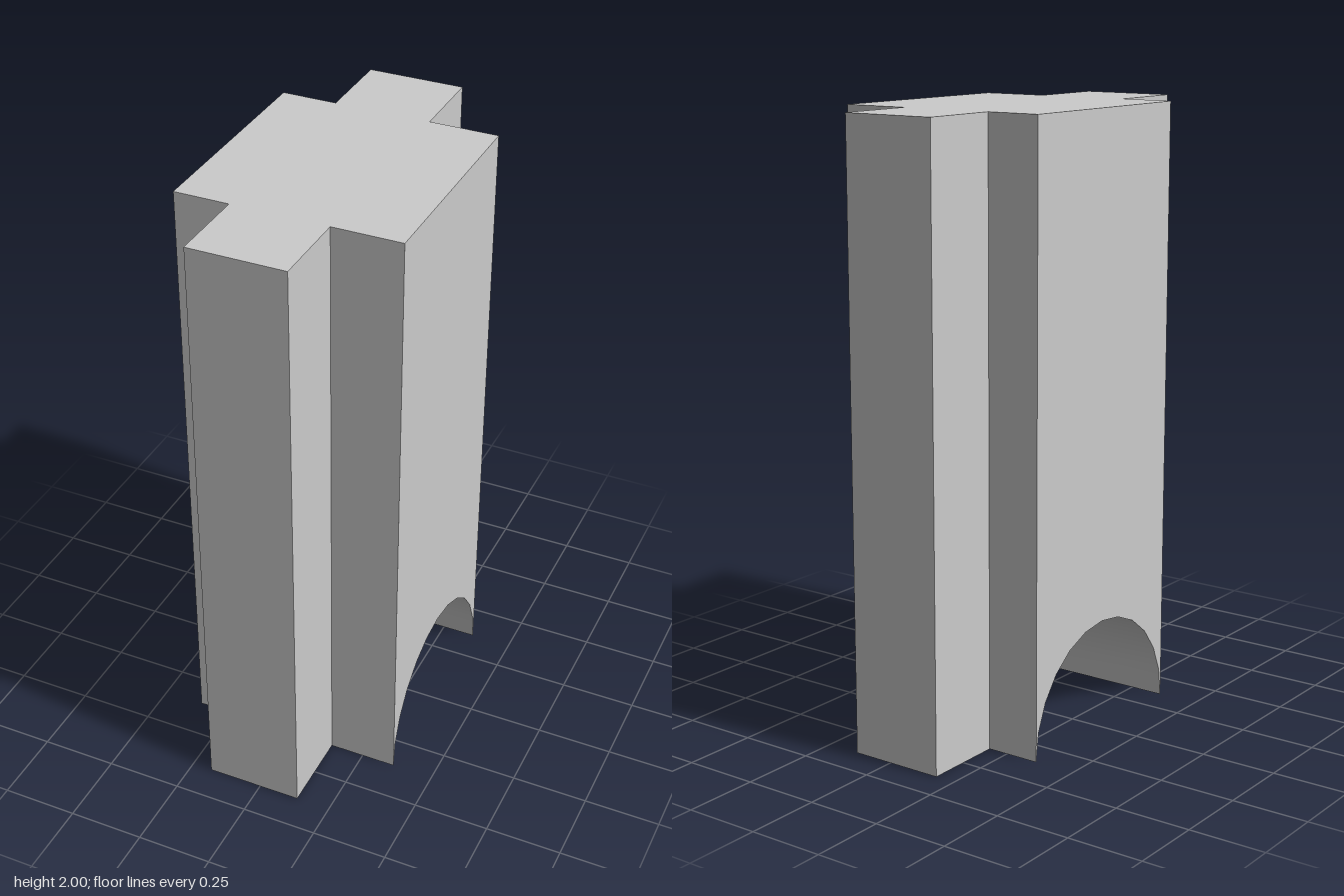
import * as THREE from 'three';
import { toCreasedNormals } from 'three/addons/utils/BufferGeometryUtils.js';

export function createModel() {
  const group = new THREE.Group();
  const material = new THREE.MeshStandardMaterial({ color: 0xcccccc });
  const height = 2;
  const radius = 0.363; // arch radius and half depth of the body
  const halfDepth = 0.635; // overall half depth including the ribs

  // Body: side profile with a half-round arch cut out, extruded across x
  const profile = new THREE.Shape();
  profile.moveTo(-radius, 0);
  profile.lineTo(-radius, height);
  profile.lineTo(radius, height);
  profile.lineTo(radius, 0);
  profile.absarc(0, 0, radius, 0, Math.PI, false);
  const width = 0.726;
  const bodyGeometry = new THREE.ExtrudeGeometry(profile, {
    depth: width, bevelEnabled: false, curveSegments: 6,
  });
  bodyGeometry.translate(0, 0, -width / 2).rotateY(Math.PI / 2);
  const body = new THREE.Mesh(toCreasedNormals(bodyGeometry, 0.5), material);
  body.name = 'archedBody';
  group.add(body);

  // Ribs on the front and back, slightly off centre in x
  const ribDepth = halfDepth - radius;
  for (const [name, side] of [['frontRib', 1], ['backRib', -1]]) {
    const rib = new THREE.Mesh(new THREE.BoxGeometry(0.318, height, ribDepth), material);
    rib.position.set(-0.023, height / 2, side * (radius + ribDepth / 2));
    rib.name = name;
    group.add(rib);
  }
  return group;
}
